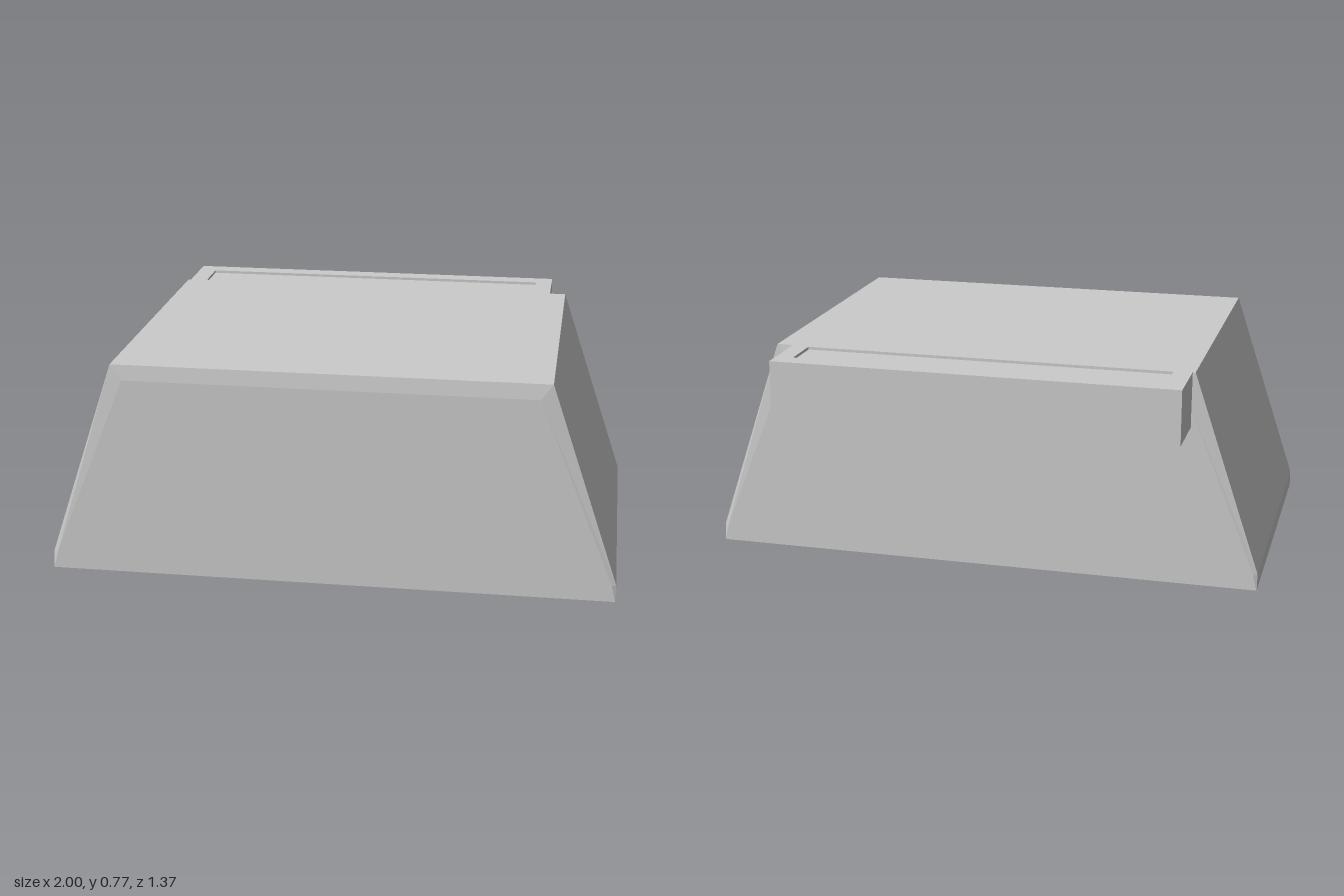
import * as THREE from 'three';

const material = new THREE.MeshStandardMaterial({ color: 0xcccccc, flatShading: true });

// Closed solid through a row of matching outlines, each { z, pts } from back to front
function loft(sections) {
  const pos = [];
  const n = sections[0].pts.length;
  const at = (s, i) => [...s.pts[i % n], s.z];
  const tri = (a, b, c) => pos.push(...a, ...b, ...c);
  for (let k = 0; k < sections.length - 1; k++) {
    const s = sections[k], t = sections[k + 1];
    for (let i = 0; i < n; i++) {
      tri(at(s, i), at(s, i + 1), at(t, i + 1));
      tri(at(s, i), at(t, i + 1), at(t, i));
    }
  }
  const back = sections[0], front = sections[sections.length - 1];
  for (let i = 1; i < n - 1; i++) {
    tri(at(front, 0), at(front, i), at(front, i + 1));
    tri(at(back, 0), at(back, i + 1), at(back, i));
  }
  const geo = new THREE.BufferGeometry();
  geo.setAttribute('position', new THREE.Float32BufferAttribute(pos, 3));
  geo.computeVertexNormals();
  return geo;
}

// Counter-clockwise outline mirrored from its right half
const mirrored = half => [...half, ...half.map(([x, y]) => [-x, y]).reverse()];

function rectangle(PathType, x0, x1, y0, y1) {
  return new PathType([[x0, y0], [x1, y0], [x1, y1], [x0, y1]].map(p => new THREE.Vector2(...p)));
}

export function createModel() {
  const model = new THREE.Group();
  model.name = 'taperedHousing';
  const add = (name, geometry) => {
    const mesh = new THREE.Mesh(geometry, material);
    mesh.name = name;
    model.add(mesh);
    return mesh;
  };

  // Tapered body, its end panels raised slightly with a thin bevel along top and sides
  const outline = mirrored([[1, 0], [1, 0.06], [0.76, 0.775]]);
  const panel = mirrored([[1, 0], [0.985, 0.06], [0.72, 0.72]]);
  add('body', loft([
    { z: -0.466, pts: panel },
    { z: -0.46, pts: outline },
    { z: 0.681, pts: outline },
    { z: 0.687, pts: panel },
  ]));

  // Rear ledge, slightly off centre
  const x0 = -0.75, x1 = 0.7, back = -0.687, front = -0.46;
  const bottom = 0.58, floor = 0.765, top = 0.775;
  const ledge = add('rearLedge', new THREE.BoxGeometry(x1 - x0, floor - bottom, front - back));
  ledge.position.set((x0 + x1) / 2, (floor + bottom) / 2, (front + back) / 2);

  // Rim around the shallow slot on top of the ledge (shape y is -z)
  const rim = rectangle(THREE.Shape, x0, x1, -front, -back);
  rim.holes.push(rectangle(THREE.Path, -0.685, 0.637, 0.47, 0.622));
  const rimGeo = new THREE.ExtrudeGeometry(rim, { depth: top - floor, bevelEnabled: false });
  rimGeo.rotateX(-Math.PI / 2);
  add('slotRim', rimGeo).position.y = floor;

  return model;
}
